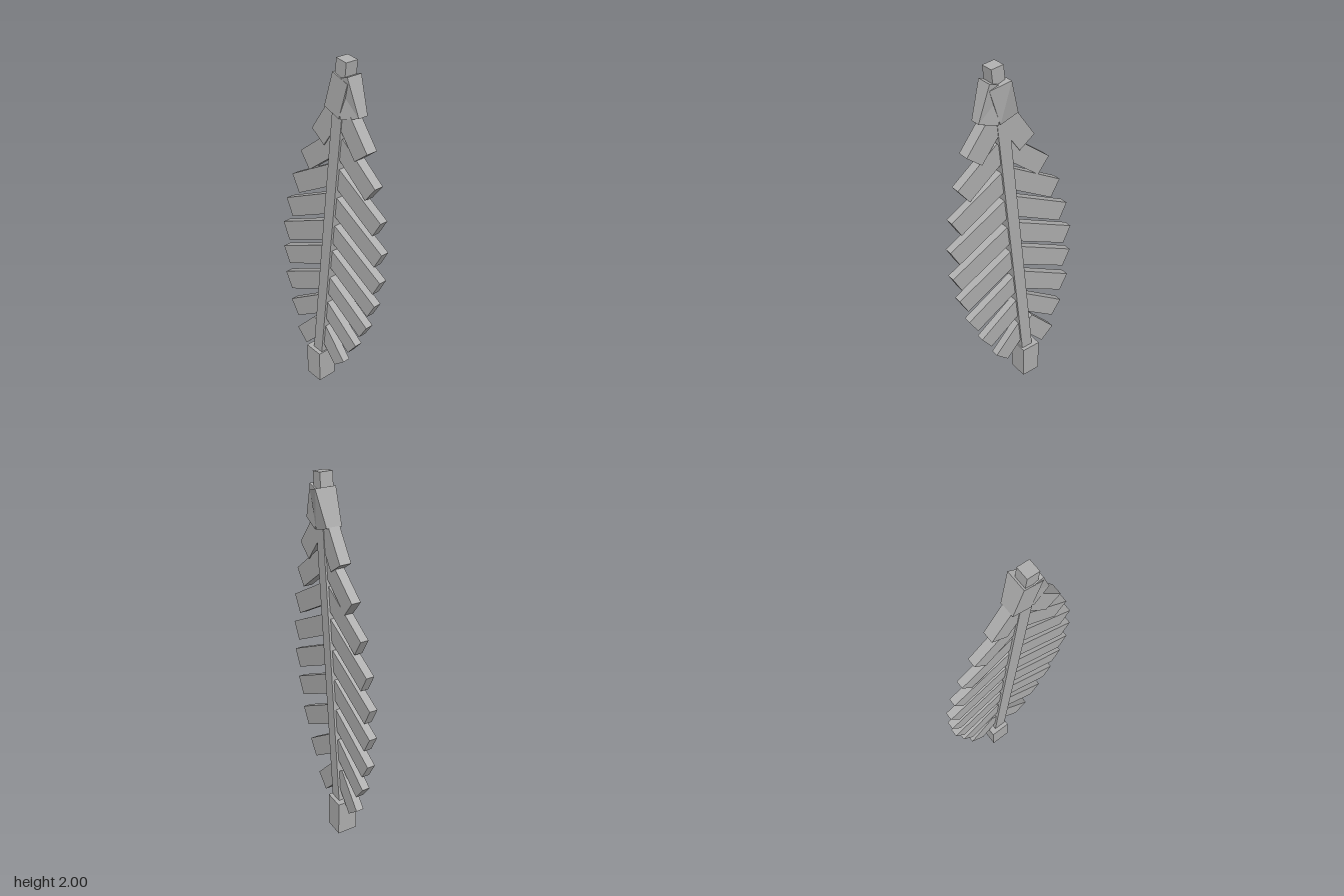
import * as THREE from 'three';

const grey = new THREE.MeshStandardMaterial({ color: 0xb0b0b0 });
grey.name = 'grey';

// Flat slab: a polygon in x,y extruded between two depths
function slab(name, points, zBack, zFront) {
  const shape = new THREE.Shape(points.map(([x, y]) => new THREE.Vector2(x, y)));
  const geometry = new THREE.ExtrudeGeometry(shape, { depth: zFront - zBack, bevelEnabled: false });
  geometry.translate(0, 0, zBack);
  const mesh = new THREE.Mesh(geometry, grey);
  mesh.name = name;
  return mesh;
}

// Leaflet: upper edge runs from the stem to the tip, width is square to it
function leaflet(name, inner, outer, side, zBack, zFront) {
  const dx = outer[0] - inner[0], dy = outer[1] - inner[1];
  const k = 0.107 * side / Math.hypot(dx, dy);
  const drop = ([x, y]) => [x + dy * k, y - dx * k];
  return slab(name, [inner, outer, drop(outer), drop(inner)], zBack, zFront);
}

export function createModel() {
  const model = new THREE.Group();
  model.name = 'frond';

  // Square foot
  const foot = new THREE.Mesh(new THREE.BoxGeometry(0.112, 0.204, 0.114), grey);
  foot.position.set(-0.101, 0.102, 0.006);
  foot.name = 'foot';
  model.add(foot);

  // Leaning stem
  model.add(slab('stem', [[-0.124, 0.19], [-0.054, 0.19], [0.135, 1.992], [0.068, 2.0]], -0.029, 0.04));

  // Leaflet pairs: tip height, right tip x, right root x, left tip x, left root x
  const pairs = [
    [0.24, -0.288, -0.13, 0.124, -0.04],
    [0.42, -0.341, -0.09, 0.22, -0.024],
    [0.595, -0.384, -0.066, 0.299, -0.003],
    [0.77, -0.394, -0.05, 0.352, 0.024],
    [0.934, -0.389, -0.03, 0.384, 0.045],
    [1.103, -0.352, -0.008, 0.389, 0.061],
    [1.273, -0.294, 0.008, 0.373, 0.071],
    [1.44, -0.214, 0.008, 0.331, 0.103],
    [1.6, -0.114, 0.008, 0.278, 0.14],
    [1.75, -0.008, 0.05, 0.209, 0.151],
  ];
  pairs.forEach(([y, rTip, rRoot, lTip, lRoot], i) => {
    const rise = i === 9 ? 0.182 : 0.175;
    // The upper pairs thicken
    const extra = [0, 0.003, 0.009, 0.02][Math.max(0, i - 6)];
    const zb = -0.017 - extra, zf = 0.027 + extra;
    const right = leaflet('rightLeaflet', [rRoot, y + rise], [rTip, y], -1, zb, zf);
    const left = leaflet('leftLeaflet', [lRoot, y + rise], [lTip, y], 1, zb, zf);
    if (i === 9) {
      // Twist of the top pair: right root flares back, left tip thins
      const p = right.geometry.attributes.position, q = left.geometry.attributes.position;
      for (let v = 0; v < p.count; v++) {
        if (p.getZ(v) < 0 && p.getY(v) > 1.92 && p.getX(v) < 0.06) p.setZ(v, -0.065);
      }
      for (let v = 0; v < q.count; v++) {
        if (q.getX(v) > 0.2) q.setZ(v, q.getZ(v) < 0 ? -0.027 : 0.027);
      }
      right.geometry = right.geometry.toNonIndexed();
      left.geometry = left.geometry.toNonIndexed();
      right.geometry.computeVertexNormals();
      left.geometry.computeVertexNormals();
    }
    model.add(right, left);
  });

  return model;
}
